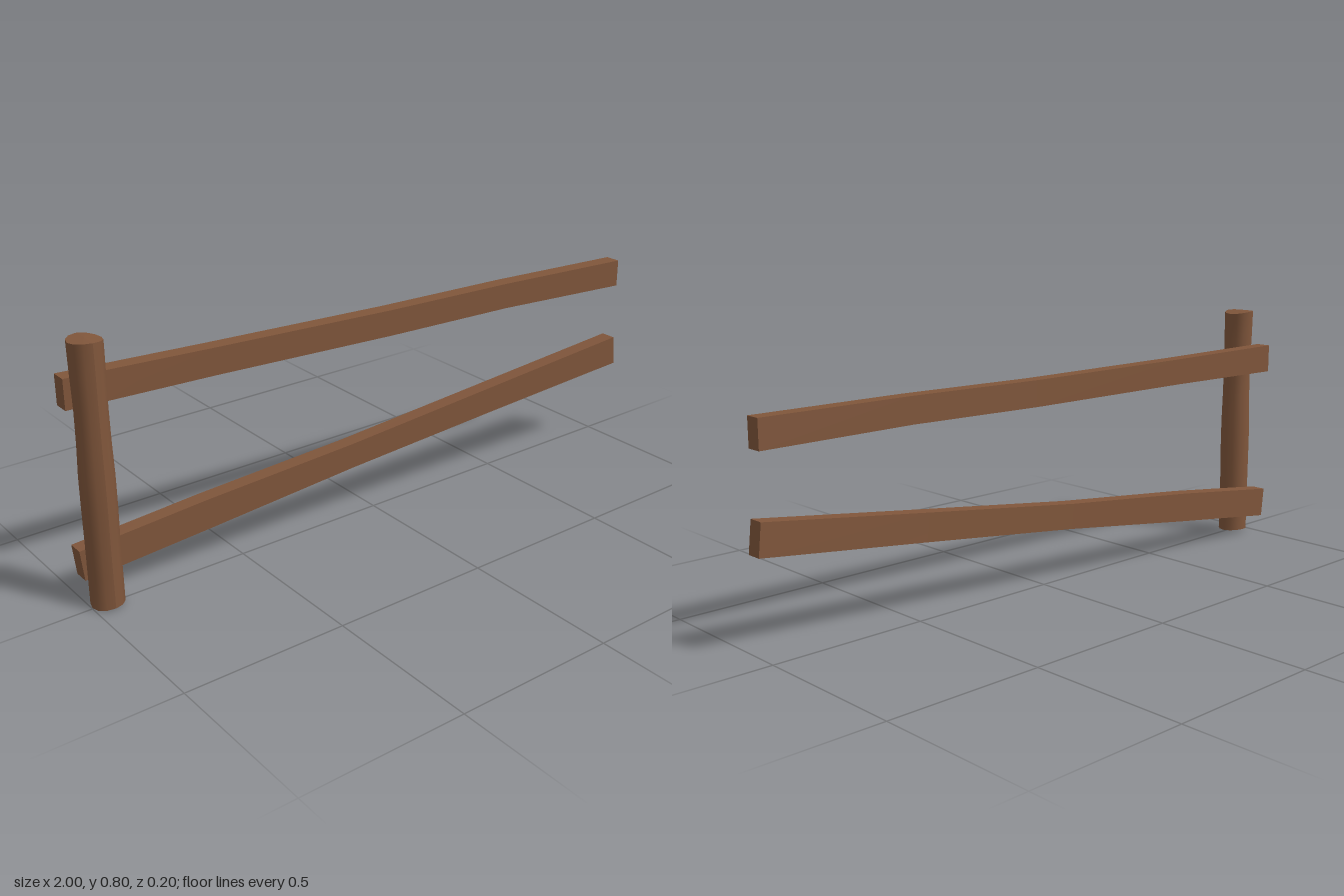
import * as THREE from 'three';

const wood = new THREE.MeshStandardMaterial({ color: 0x80563b });
wood.name = 'brown wood';

// Rail bent along stations of [x top, x bottom, y top, y bottom, z centre]
function makeRail(name, stations) {
  const n = stations.length - 1;
  const geo = new THREE.BoxGeometry(n, 1, 0.05, n, 1, 1);
  const pos = geo.attributes.position;
  for (let i = 0; i < pos.count; i++) {
    const [xTop, xBottom, yTop, yBottom, z] = stations[Math.round(pos.getX(i) + n / 2)];
    const top = pos.getY(i) > 0;
    pos.setXYZ(i, top ? xTop : xBottom, top ? yTop : yBottom, z + pos.getZ(i));
  }
  geo.computeVertexNormals();
  const mesh = new THREE.Mesh(geo, wood);
  mesh.name = name;
  return mesh;
}

// Upright round post, slightly crooked, with roughly cut ends
function makePost() {
  // [radius, z shift] from bottom to top
  const rings = [[0.049, -0.003], [0.049, -0.003], [0.049, -0.003], [0.05, -0.002],
    [0.05, -0.002], [0.047, -0.001], [0.046, -0.001], [0.048, -0.002], [0.049, -0.003]];
  const n = rings.length - 1;
  const geo = new THREE.CylinderGeometry(1, 1, n, 12, n);
  const pos = geo.attributes.position;
  for (let i = 0; i < pos.count; i++) {
    const x = pos.getX(i), z = pos.getZ(i);
    const k = Math.round(pos.getY(i) + n / 2);
    const [r, shift] = rings[k];
    const rim = Math.hypot(x, z);
    let y = 0.8 * k / n;
    if (k === n) y -= rim * (0.007 - 0.005 * z * z + 0.003 * x);
    if (k === 0) y += rim * (0.003 + 0.004 * z * z - 0.002 * z + 0.002 * x);
    pos.setXYZ(i, -0.95 + x * r, y, z * r + shift);
  }
  geo.computeVertexNormals();
  const mesh = new THREE.Mesh(geo, wood);
  mesh.name = 'post';
  return mesh;
}

export function createModel() {
  const fence = new THREE.Group();
  fence.name = 'brokenFence';
  fence.add(makePost());

  // Nearly level upper rail
  fence.add(makeRail('upperRail', [
    [-1, -1, 0.68, 0.588, -0.076],
    [-0.55, -0.55, 0.672, 0.588, -0.043],
    [0.05, 0.05, 0.665, 0.582, 0.002],
    [0.5, 0.5, 0.667, 0.584, 0.037],
    [0.98, 0.98, 0.662, 0.573, 0.076],
  ]));

  // Sloping lower rail
  fence.add(makeRail('lowerRail', [
    [-1, -0.99, 0.16, 0.063, -0.076],
    [-0.6, -0.59, 0.206, 0.11, -0.046],
    [-0.1, -0.09, 0.253, 0.172, -0.008],
    [0.45, 0.46, 0.318, 0.23, 0.034],
    [0.985, 0.996, 0.382, 0.284, 0.076],
  ]));
  return fence;
}
